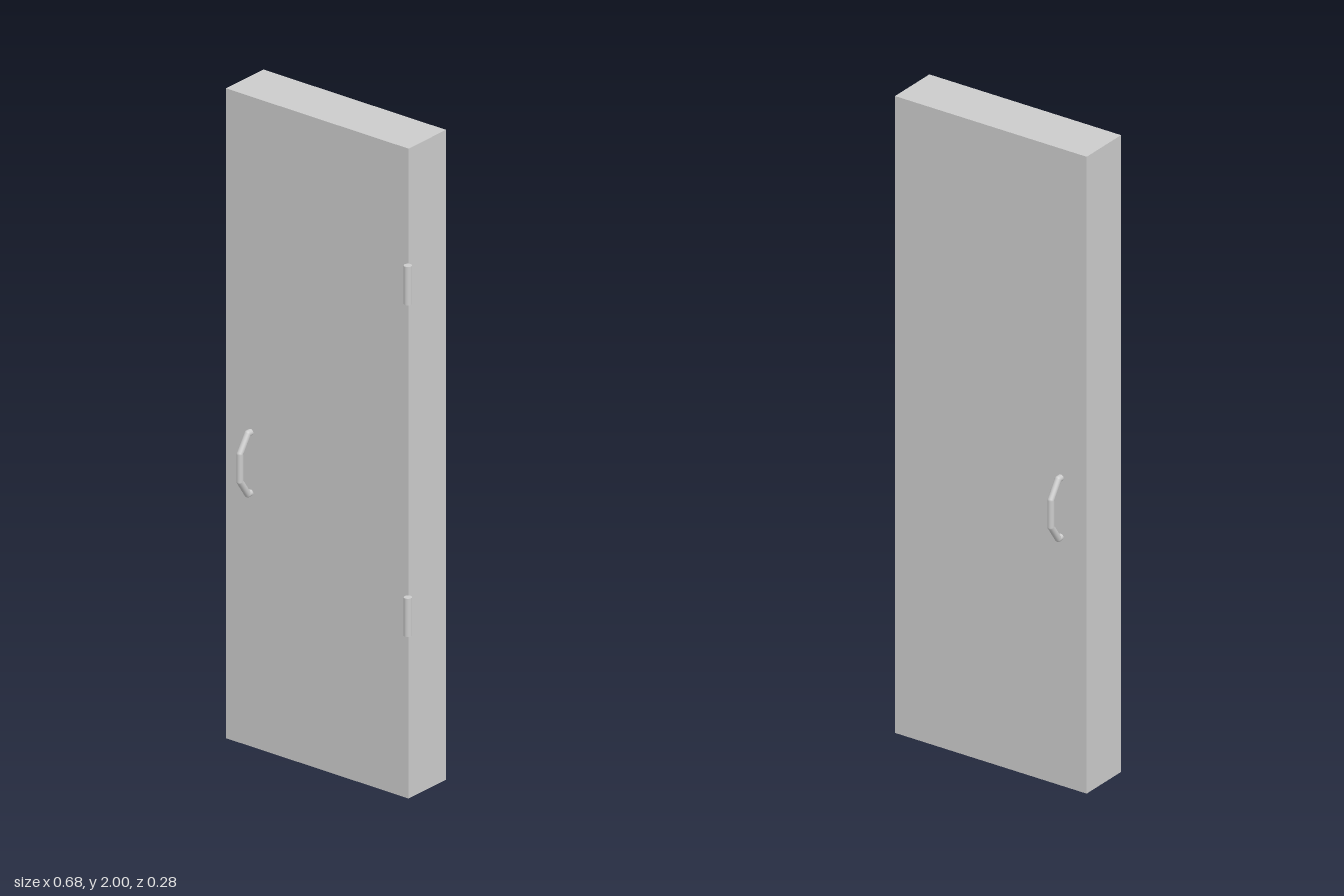
import * as THREE from 'three';

const material = new THREE.MeshStandardMaterial({ color: 0xcccccc });
const UP = new THREE.Vector3(0, 1, 0);

function addMesh(parent, name, geometry, x, y, z) {
  const mesh = new THREE.Mesh(geometry, material);
  mesh.name = name;
  mesh.position.set(x, y, z);
  parent.add(mesh);
  return mesh;
}

// Bent pull bar: straight rods joined by round elbows, standing out along +z
function createHandle(name) {
  const handle = new THREE.Group();
  handle.name = name;
  const radius = 0.01;
  const points = [
    [0.093, -0.01], [0.093, 0.095], [0.042, 0.047],
  ].map(([y, z]) => new THREE.Vector3(0, y, z));
  points[0].z = -0.01;
  points[1].z = 0.012;
  const path = [...points, ...points.map((p) => new THREE.Vector3(0, -p.y, p.z)).reverse()];
  path.forEach((p, i) => {
    if (i === 0) return;
    const a = path[i - 1];
    const mid = a.clone().add(p).multiplyScalar(0.5);
    const rod = addMesh(handle, 'handleRod',
      new THREE.CylinderGeometry(radius, radius, a.distanceTo(p), 16, 1, true), mid.x, mid.y, mid.z);
    rod.quaternion.setFromUnitVectors(UP, p.clone().sub(a).normalize());
    if (i < path.length - 1) {
      addMesh(handle, 'handleElbow', new THREE.SphereGeometry(radius, 16, 12), p.x, p.y, p.z);
    }
  });
  return handle;
}

export function createModel() {
  const door = new THREE.Group();
  door.name = 'door';

  // Door slab
  addMesh(door, 'doorPanel', new THREE.BoxGeometry(0.66, 2, 0.167), -0.01, 1, -0.0015);

  // Hinge barrels on the front left edge
  for (const y of [0.567, 1.588]) {
    addMesh(door, 'hinge', new THREE.CylinderGeometry(0.012, 0.012, 0.118, 16), 0.327, y, 0.094);
  }

  // One pull handle on each face
  const front = createHandle('frontHandle');
  front.position.set(-0.251, 0.874, 0.083);
  const back = createHandle('backHandle');
  back.position.set(-0.251, 0.874, -0.086);
  back.rotation.y = Math.PI;
  door.add(front, back);

  return door;
}
